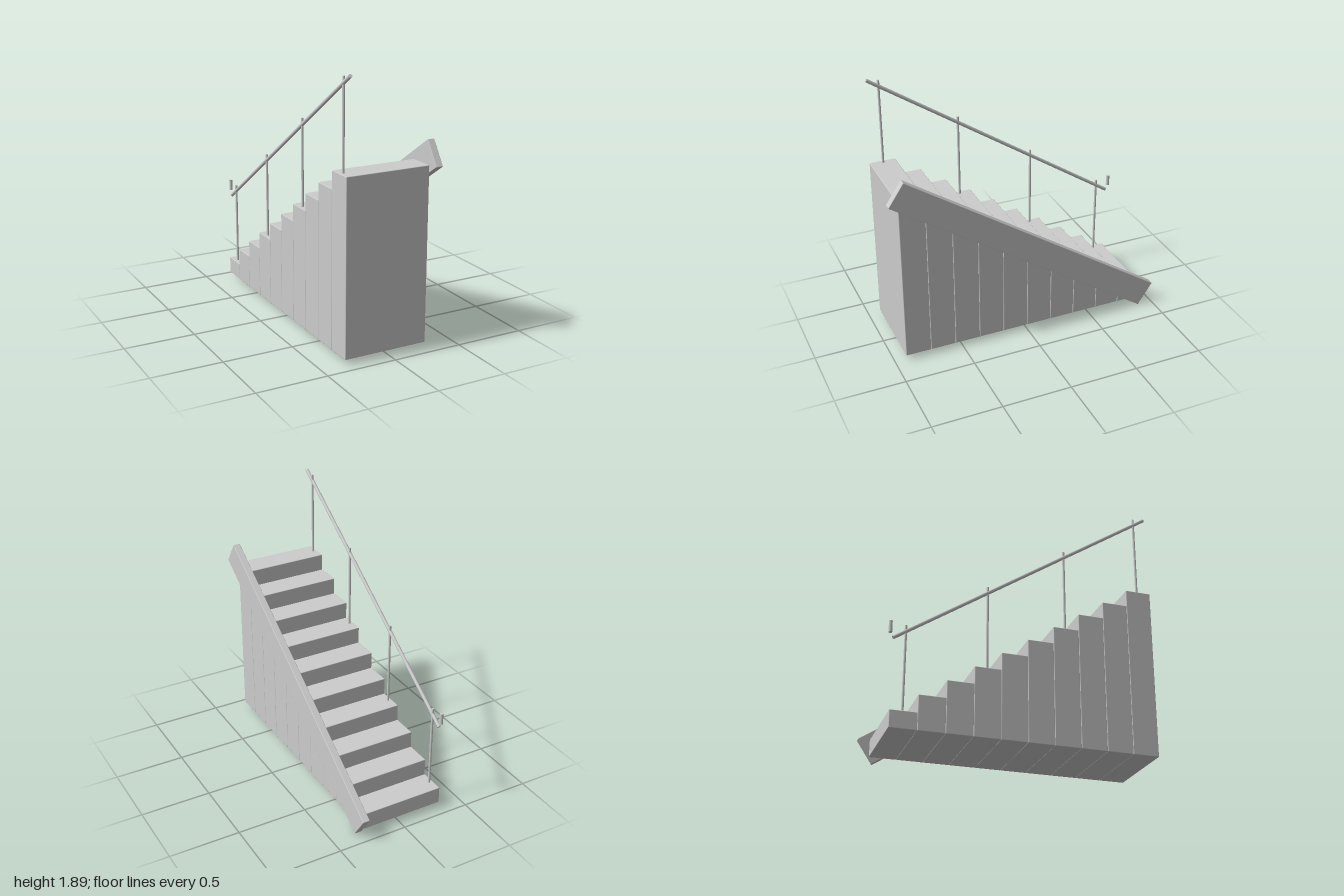
import * as THREE from 'three';
import { RoundedBoxGeometry } from 'three/addons/geometries/RoundedBoxGeometry.js';

export function createModel() {
  const model = new THREE.Group();
  model.name = 'staircase';
  const grey = new THREE.MeshStandardMaterial({ color: 0xcccccc });
  grey.name = 'light grey';

  function add(name, geometry, x, y, z, parent = model) {
    const mesh = new THREE.Mesh(geometry, grey);
    mesh.name = name;
    mesh.position.set(x, y, z);
    parent.add(mesh);
    return mesh;
  }

  // Solid steps with softened edges, rising towards +z
  const count = 10, depth = 0.184, rise = 0.122, base = 0.04;
  const stepTop = (i) => base + rise * (i + 1);
  const steps = new THREE.Group();
  steps.name = 'steps';
  model.add(steps);
  for (let i = 0; i < count; i++) {
    const height = rise * (i + 1);
    add('step', new RoundedBoxGeometry(0.608, height, depth, 2, 0.005),
      -0.026, base + height / 2, -0.92 + depth * (i + 0.5), steps);
  }

  // Sloping side board
  const stringer = add('stringer', new RoundedBoxGeometry(0.052, 0.196, 2.272, 2, 0.005), 0.302, 0.713, 0);
  stringer.rotation.x = -Math.atan2(1.26, 1.89);

  // Handrail on upright posts
  const railing = new THREE.Group();
  railing.name = 'railing';
  model.add(railing);
  const railX = -0.302;
  for (const z of [-0.83, -0.277, 0.277, 0.83]) {
    const bottom = stepTop(Math.floor((z + 0.92) / depth)) - 0.005;
    const top = 1.317 + z * 0.667;
    add('post', new THREE.CylinderGeometry(0.0085, 0.0085, top - bottom, 12),
      railX, (top + bottom) / 2, z, railing);
  }
  const slope = new THREE.Vector3(0, 1.215, 1.825);
  const rail = add('handrail', new THREE.CylinderGeometry(0.0125, 0.0125, slope.length(), 12),
    railX, 1.274, 0, railing);
  rail.quaternion.setFromUnitVectors(new THREE.Vector3(0, 1, 0), slope.normalize());

  // Short separate upright past the lower end of the rail
  add('railEnd', new THREE.CylinderGeometry(0.0125, 0.0125, 0.08, 12), railX, 0.742, -0.932, railing);

  return model;
}
